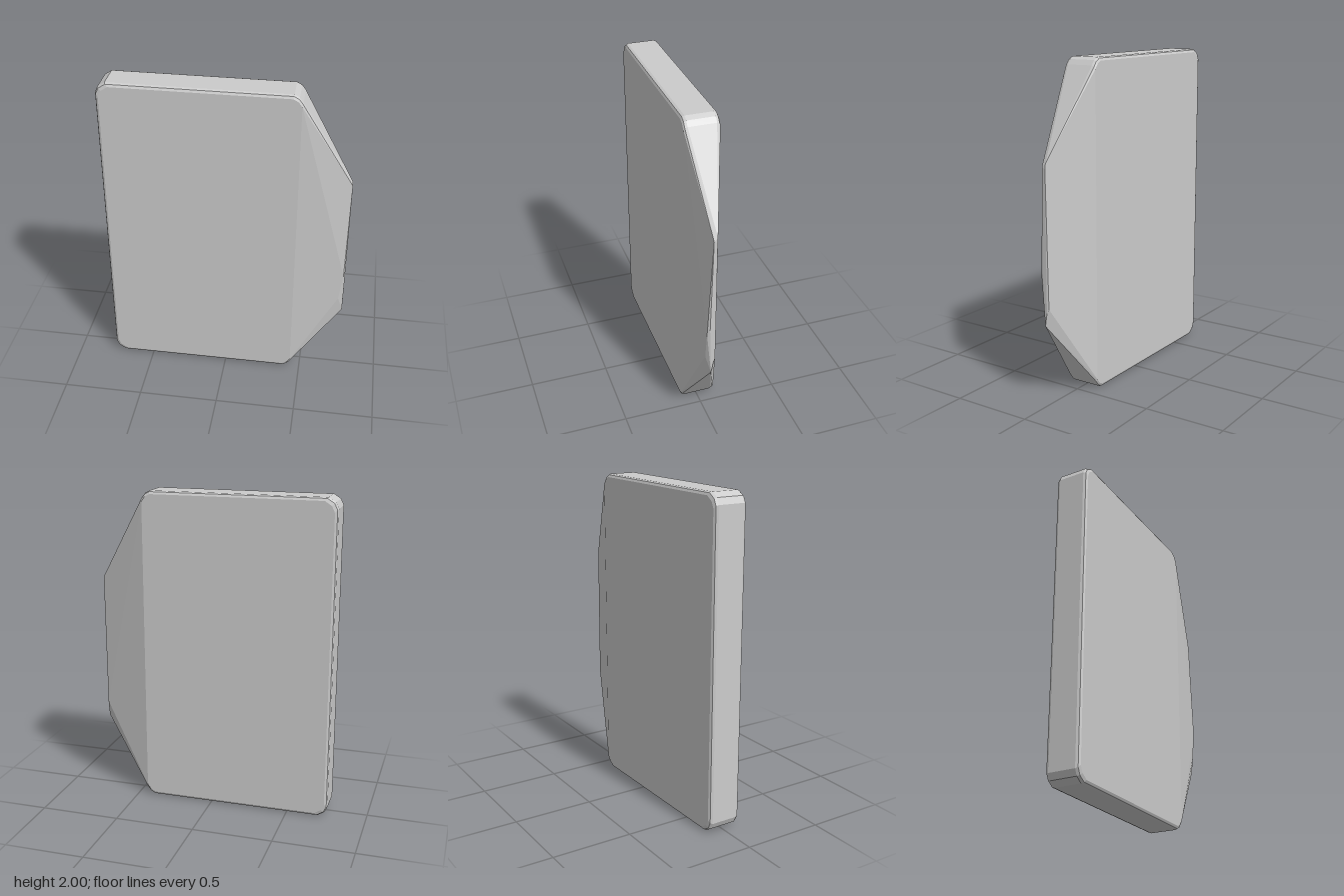
import * as THREE from 'three';
import { ConvexGeometry } from 'three/addons/geometries/ConvexGeometry.js';

export function createModel() {
  const group = new THREE.Group();
  group.name = 'wedgedSlab';
  const points = [];

  // Lower half of the slab outline, mirrored about y = 1
  const outline = [
    [-0.76, 0.065], [-0.742, 0.027], [-0.7, 0],
    [0.39, 0], [0.42, 0.016], [0.442, 0.045],
  ];
  // Rounded rims: inset against depth, front and back
  const back = -0.108, front = 0.104;
  const rim = [[0, 0.022], [0.006, 0.007], [0.02, 0]];
  for (const [x, y] of outline) {
    for (const [inset, depth] of rim) {
      const px = x < 0 ? x + inset : x - inset * 0.2;
      const py = y + inset;
      for (const z of [back + depth, front - depth]) {
        points.push(new THREE.Vector3(px, py, z), new THREE.Vector3(px, 2 - py, z));
      }
    }
  }

  // Chipped, tapered edge on the +x side
  const tip = [
    [0.753, 1.43, 0.012], [0.756, 1.41, 0.035], [0.756, 1.4, 0.014],
    [0.751, 0.58, 0.008], [0.756, 0.55, 0.02], [0.755, 0.475, 0.033],
    [0.747, 0.76, 0.06], [0.756, 0.8, 0.045], [0.725, 0.58, 0.06],
  ];
  for (const p of tip) points.push(new THREE.Vector3(...p));

  const slab = new THREE.Mesh(
    new ConvexGeometry(points),
    new THREE.MeshStandardMaterial({ color: 0xcccccc, flatShading: true }),
  );
  slab.name = 'slab';
  group.add(slab);
  return group;
}
